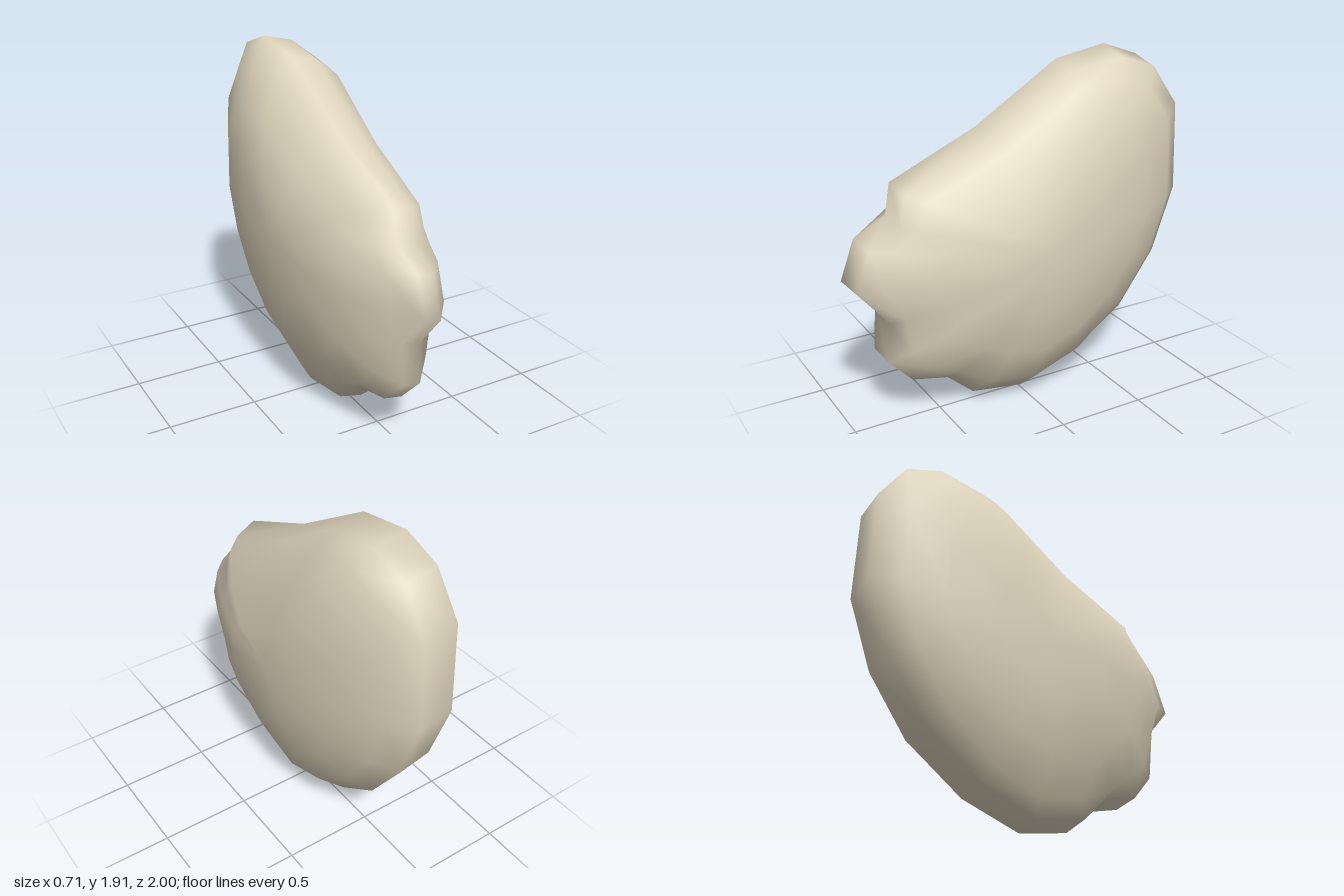
import * as THREE from 'three';

// Side outline as [z, y], with the point to which each notch is filled in on the flanks
const outline = [
  [-0.01, 0], [0.31, 0.05], [0.48, 0.2, 0.54, 0.15], [0.7, 0.25], [0.84, 0.4],
  [0.82, 0.63, 0.92, 0.61], [1, 0.84], [0.92, 1.06], [0.74, 1.15, 0.82, 1.2],
  [0.71, 1.33], [0.21, 1.55], [-0.29, 1.86], [-0.6, 1.91], [-0.82, 1.83],
  [-0.98, 1.6], [-1, 1.09], [-0.87, 0.71], [-0.65, 0.39], [-0.34, 0.13],
];
const CZ = -0.05, CY = 0.95;

// Cross-sections from one flank to the other: x, scale, notch filling
const sections = [
  [-0.345, 0.34, 1], [-0.288, 0.65, 1], [-0.185, 0.86, 1], [-0.08, 1, 0],
  [0.07, 1, 0], [0.172, 0.86, 0.5], [0.268, 0.64, 0.8], [0.343, 0.34, 1],
];

function sectionPoint([z, y, fz = z, fy = y], [x, s, fill]) {
  let pz = CZ + (z + (fz - z) * fill - CZ) * s;
  let py = CY + (y + (fy - y) * fill - CY) * s;
  // Narrower toward the front, broader toward the back
  let px = x * (1 - 0.24 * s * s * pz);
  // The two rims are slightly skewed against each other
  if (s === 1) {
    px -= 0.055 * Math.max(0, 1 - y / 0.4);
    py = CY + (py - CY) * 0.978 + (x < 0 ? 0.021 : -0.021);
    if (x > 0 && pz > 0) pz *= 0.96;
  }
  return [px, py, pz];
}

function stoneGeometry() {
  const n = outline.length, positions = [], index = [];
  for (const section of sections) {
    for (const p of outline) positions.push(...sectionPoint(p, section));
  }
  const first = sections.length * n, last = first + 1;
  positions.push(-0.355, CY, CZ, 0.352, CY, CZ);
  for (let i = 0; i < n; i++) {
    const j = (i + 1) % n;
    for (let r = 0; r < sections.length - 1; r++) {
      const a = r * n + i, b = r * n + j, c = a + n, d = b + n;
      index.push(a, c, b, b, c, d);
    }
    // Flank centres
    const top = (sections.length - 1) * n;
    index.push(first, i, j, last, top + j, top + i);
  }
  const geometry = new THREE.BufferGeometry();
  geometry.setAttribute('position', new THREE.Float32BufferAttribute(positions, 3));
  geometry.setIndex(index);
  geometry.computeVertexNormals();
  return geometry;
}

export function createModel() {
  const stone = new THREE.MeshStandardMaterial({ color: 0xe0d6be });
  stone.name = 'pale stone';
  const body = new THREE.Mesh(stoneGeometry(), stone);
  body.name = 'stoneBody';
  const group = new THREE.Group();
  group.name = 'stone';
  group.add(body);
  return group;
}
